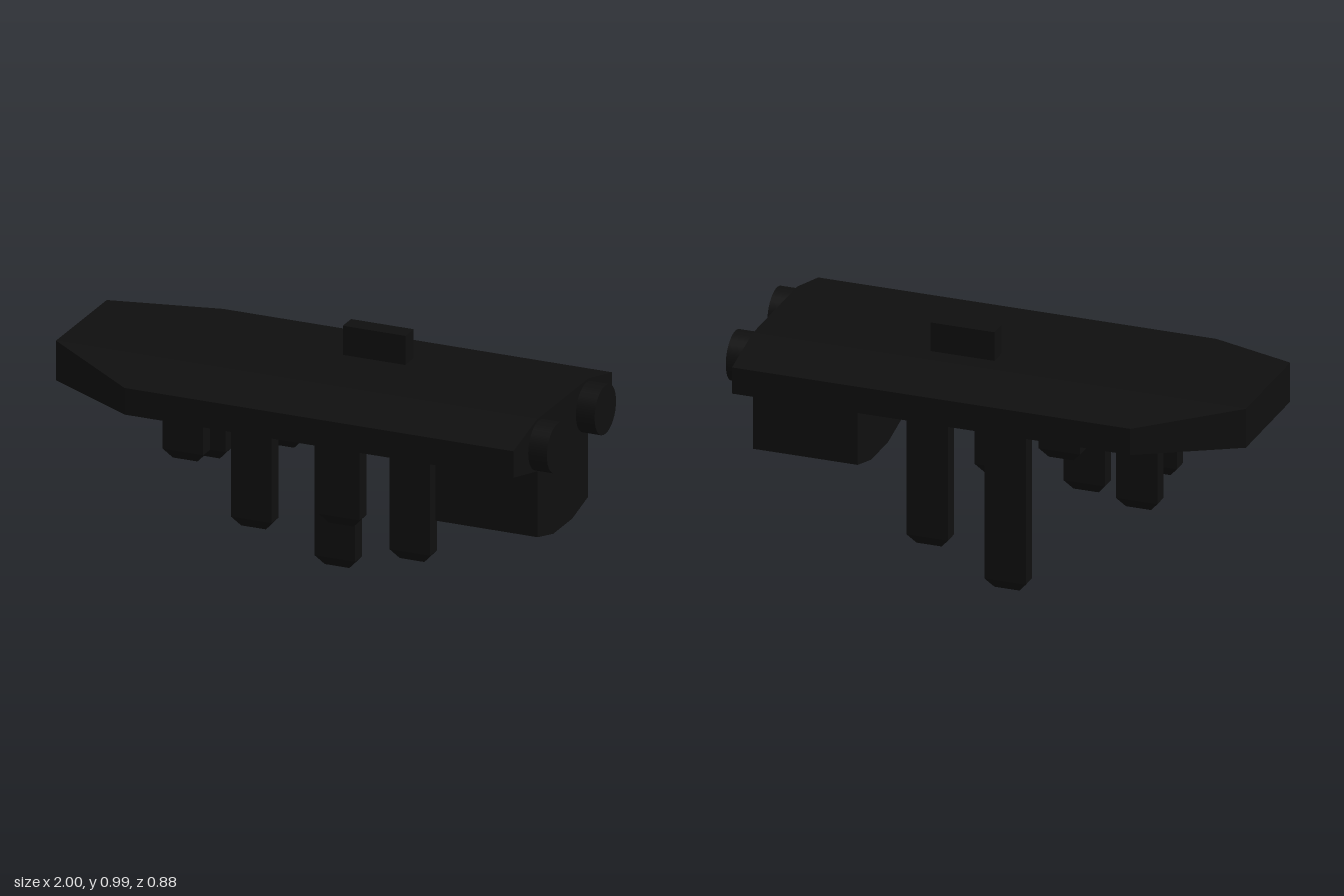
import * as THREE from 'three';
import { ConvexGeometry } from 'three/addons/geometries/ConvexGeometry.js';

const hullBlack = new THREE.MeshStandardMaterial({ color: 0x0f0f0f });
hullBlack.name = 'hullBlack';

const V = (x, y, z) => new THREE.Vector3(x, y, z);

export function createModel() {
  const model = new THREE.Group();
  model.name = 'ship';

  function add(name, geometry, x = 0, y = 0, z = 0) {
    const mesh = new THREE.Mesh(geometry, hullBlack);
    mesh.name = name;
    mesh.position.set(x, y, z);
    model.add(mesh);
    return mesh;
  }

  // Main hull: long bevelled slab tapering to a blunt nose at -x
  const hull = [];
  for (const s of [-1, 1]) {
    for (const x of [-0.63, 0.925]) {
      hull.push(V(x, 0.873, s * 0.225), V(x, 0.822, s * 0.438), V(x, 0.718, s * 0.438), V(x, 0.668, s * 0.222));
    }
    hull.push(V(-1, 0.873, s * 0.225), V(-1, 0.718, s * 0.225));
  }
  add('hull', new ConvexGeometry(hull));

  // Rear belly block with a shallow keel
  const belly = [];
  for (const s of [-1, 1]) {
    for (const x of [0.517, 0.925]) {
      belly.push(V(x, 0.68, s * 0.222), V(x, 0.41, s * 0.222), V(x, 0.375, s * 0.085));
    }
  }
  add('bellyBlock', new ConvexGeometry(belly));

  // Deck fin
  add('deckFin', new THREE.BoxGeometry(0.25, 0.13, 0.074), 0.137, 0.922, -0.111);

  // Twin engine discs at the stern
  for (const s of [-1, 1]) {
    const engine = new THREE.CylinderGeometry(0.095, 0.095, 0.085, 32);
    engine.rotateZ(-Math.PI / 2);
    add(s > 0 ? 'leftEngine' : 'rightEngine', engine, 0.9575, 0.768, s * 0.211);
  }

  // Hanging towers with tapered tips: [x centre, z centre, bottom y]
  const towers = [
    [-0.548, 0.07, 0.43], [-0.548, -0.128, 0.372],
    [-0.22, 0.192, 0.26], [-0.22, -0.06, 0.49],
    [-0.058, -0.19, 0], [0.103, 0.129, 0.3], [0.27, -0.127, 0.098],
  ];
  for (const [x, z, bottom] of towers) {
    const points = [];
    for (const sx of [-1, 1]) {
      for (const sz of [-1, 1]) {
        points.push(
          V(sx * 0.081, 0.69, sz * 0.031),
          V(sx * 0.081, bottom + 0.036, sz * 0.031),
          V(sx * 0.049, bottom, sz * 0.012),
        );
      }
    }
    add('hangingTower', new ConvexGeometry(points), x, 0, z);
  }

  return model;
}
